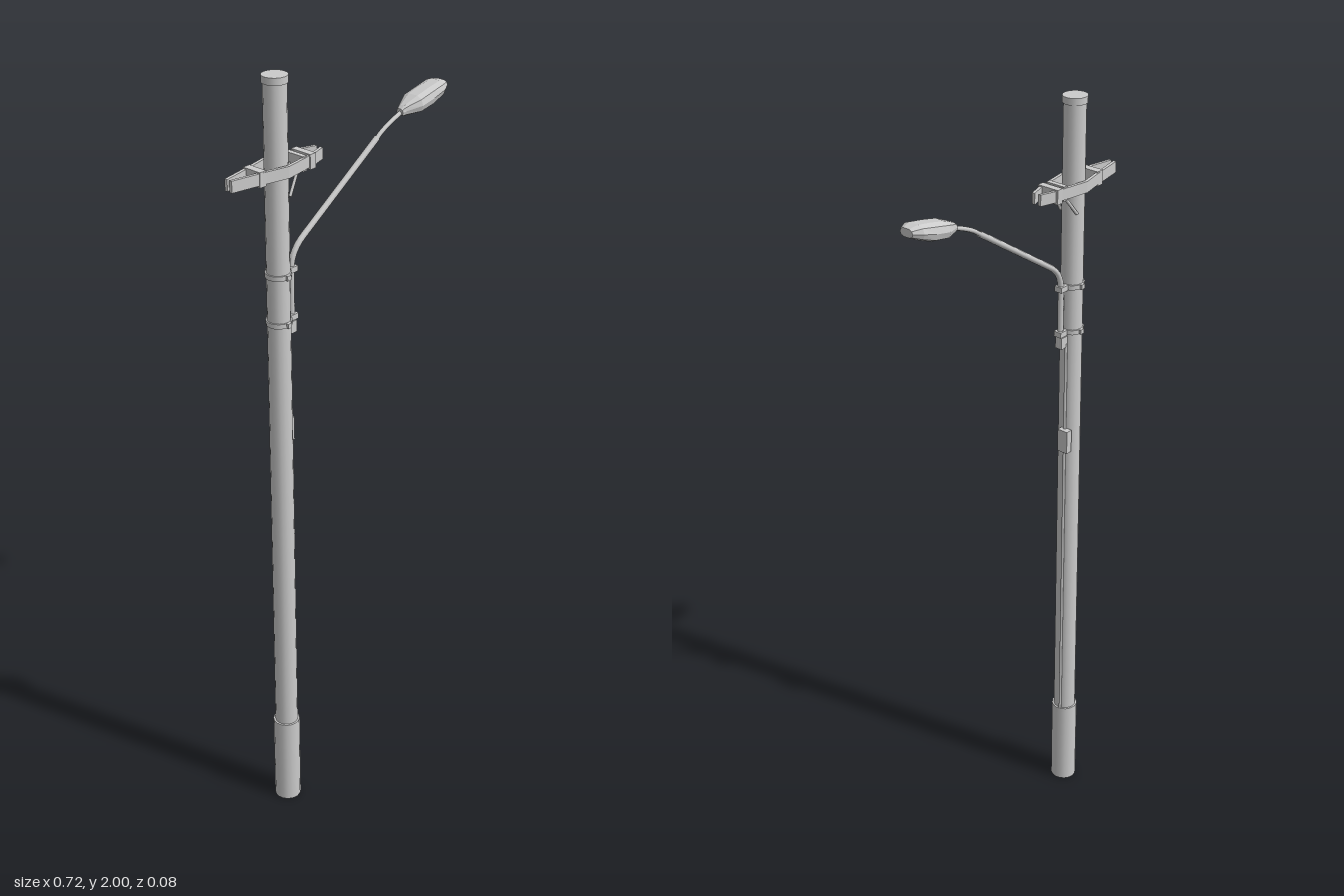
import * as THREE from 'three';

const grey = new THREE.MeshStandardMaterial({ color: 0xcccccc, side: THREE.DoubleSide });
const flat = new THREE.MeshStandardMaterial({ color: 0xcccccc, flatShading: true, side: THREE.DoubleSide });
const POLE_X = -0.212;

export function createModel() {
  const root = new THREE.Group();
  const v = (x, y, z = 0) => new THREE.Vector3(x, y, z);

  const add = (name, geo, mat = grey) => {
    const mesh = new THREE.Mesh(geo, mat);
    mesh.name = name;
    root.add(mesh);
    return mesh;
  };
  const box = (name, w, h, d, x, y, z) =>
    add(name, new THREE.BoxGeometry(w, h, d), flat).position.set(x, y, z);
  // vertical round section between two heights
  const column = (name, rTop, rBottom, y0, y1, x = POLE_X, z = 0, sides = 16) =>
    add(name, new THREE.CylinderGeometry(rTop, rBottom, y1 - y0, sides))
      .position.set(x, (y0 + y1) / 2, z);
  // straight round bar between two points
  const rod = (name, a, b, r) => {
    const m = add(name, new THREE.CylinderGeometry(r, r, a.distanceTo(b), 6));
    m.position.copy(a).add(b).multiplyScalar(0.5);
    m.quaternion.setFromUnitVectors(v(0, 1), b.clone().sub(a).normalize());
  };

  // Pole with base sleeve and top cap
  column('baseSleeve', 0.0345, 0.0345, 0, 0.25);
  column('pole', 0.0275, 0.0295, 0.25, 1.985);
  column('poleCap', 0.0305, 0.0305, 1.983, 2);

  // Cable conduit and junction box on the pole's lamp side
  column('conduit', 0.004, 0.004, 0.25, 1.38, -0.183, -0.008, 6);
  box('junctionBox', 0.018, 0.062, 0.03, -0.178, 1.11, -0.012);

  // Straps that clamp the lamp bracket
  for (const y of [1.41, 1.53]) {
    column('strap', 0.0315, 0.0315, y - 0.006, y + 0.006);
    box('strapClamp', 0.03, 0.014, 0.022, -0.173, y, 0);
    for (const s of [-1, 1]) box('strapBolt', 0.012, 0.012, 0.008, POLE_X, y, s * 0.032);
  }

  // Lamp arm: upright, bend, long rise, bend, thinner tip
  const arm = new THREE.CurvePath();
  arm.add(new THREE.LineCurve3(v(-0.17, 1.37), v(-0.17, 1.525)));
  arm.add(new THREE.QuadraticBezierCurve3(v(-0.17, 1.525), v(-0.17, 1.57), v(-0.13, 1.597)));
  arm.add(new THREE.LineCurve3(v(-0.13, 1.597), v(0.125, 1.766)));
  add('lampArm', new THREE.TubeGeometry(arm, 40, 0.0075, 8));
  const tip = new THREE.CurvePath();
  tip.add(new THREE.LineCurve3(v(0.115, 1.759), v(0.135, 1.773)));
  tip.add(new THREE.QuadraticBezierCurve3(v(0.135, 1.773), v(0.165, 1.792), v(0.225, 1.811)));
  add('lampArmTip', new THREE.TubeGeometry(tip, 16, 0.0055, 8));
  box('armFoot', 0.024, 0.03, 0.02, -0.175, 1.385, 0);

  add('lampHead', lampHead(), flat);

  // Crossarm: two bowed bars joined by spacers
  const outer = [[-0.36, 0.011], [-0.27, 0.028], [-0.212, 0.041], [-0.115, 0.025], [-0.075, 0.013]];
  for (const s of [-1, 1]) {
    const outline = [...outer, ...outer.map(([x, z]) => [x, z - 0.008]).reverse()];
    const shape = new THREE.Shape(outline.map(([x, z]) => new THREE.Vector2(x, s * z)));
    const geo = new THREE.ExtrudeGeometry(shape, { depth: 0.028, bevelEnabled: false });
    geo.rotateX(Math.PI / 2).translate(0, 1.8, 0);
    add('crossarmBar', geo, flat);
    // brace from the pole's flank up to the spacer
    rod('crossarmBrace', v(-0.195, 1.72, s * 0.025), v(-0.15, 1.783, s * 0.012), 0.004);
  }
  for (const [x, w, d] of [[-0.279, 0.02, 0.052], [-0.149, 0.013, 0.054], [-0.125, 0.018, 0.06]])
    box('crossarmSpacer', w, 0.036, d, x, 1.785, 0);

  return root;
}

// Lamp head: faceted rings along x, each [x, bottom, top, half width]
function lampHead() {
  const rings = [
    [0.205, 1.8, 1.816, 0.01], [0.214, 1.797, 1.823, 0.013], [0.252, 1.797, 1.84, 0.032],
    [0.295, 1.804, 1.85, 0.032], [0.334, 1.82, 1.857, 0.032], [0.357, 1.831, 1.852, 0.019],
  ];
  const N = 10, pos = [], idx = [];
  for (const [x, lo, hi, w] of rings)
    for (let j = 0; j < N; j++) {
      const t = (j / N) * Math.PI * 2;
      const c = Math.cos(t), s = Math.sin(t);
      const square = (q) => Math.sign(q) * Math.pow(Math.abs(q), 0.75);
      pos.push(x, (lo + hi) / 2 + (square(s) * (hi - lo)) / 2, square(c) * w);
    }
  for (let i = 0; i < rings.length - 1; i++)
    for (let j = 0; j < N; j++) {
      const a = i * N + j, b = i * N + ((j + 1) % N);
      idx.push(a, a + N, b, b, a + N, b + N);
    }
  // end caps
  const e = (rings.length - 1) * N;
  for (let j = 1; j < N - 1; j++) idx.push(0, j, j + 1, e, e + j + 1, e + j);
  const geo = new THREE.BufferGeometry();
  geo.setAttribute('position', new THREE.Float32BufferAttribute(pos, 3));
  geo.setIndex(idx);
  geo.computeVertexNormals();
  return geo;
}
